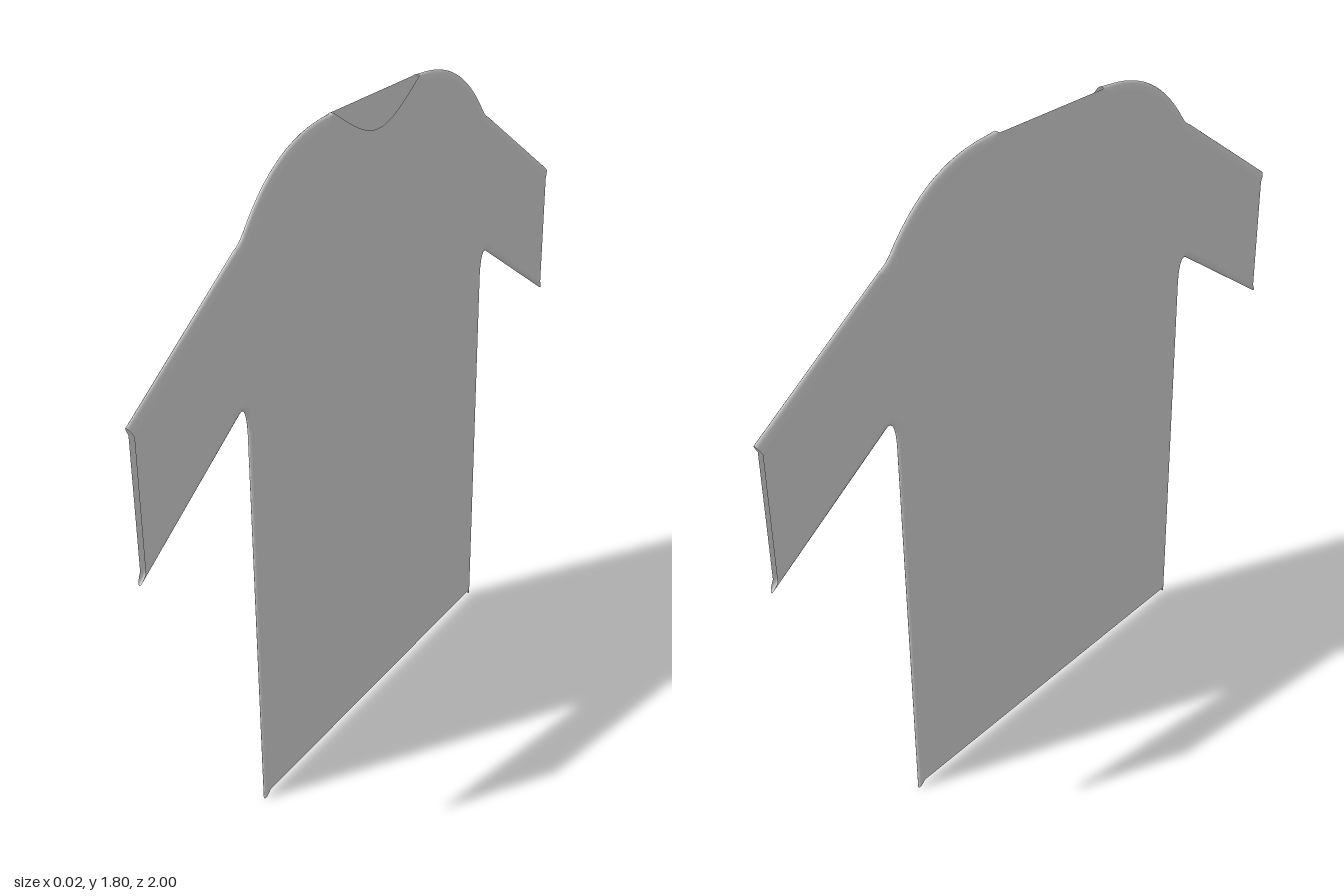
import * as THREE from 'three';

const HALF = 0.008;   // half the thickness of the flat shirt
const INSET = 0.022;  // width of the rounded seam
const ARC = 8;        // steps around the seam

const material = new THREE.MeshStandardMaterial({ color: 0xcccccc, side: THREE.DoubleSide });

// Outlines of one half: first coordinate is z, second is y
function shoulderPath() {
  const p = new THREE.Path();
  p.moveTo(0.2, 1.8);
  p.bezierCurveTo(0.36, 1.797, 0.47, 1.74, 0.565, 1.615);
  p.quadraticCurveTo(0.58, 1.597, 0.6, 1.588);
  p.lineTo(1, 1.325);
  return p;
}

function underarmPath() {
  const p = new THREE.Path();
  p.moveTo(1, 0.93);
  p.lineTo(0.612, 1.185);
  p.quadraticCurveTo(0.58, 1.203, 0.577, 1.12);
  p.lineTo(0.577, 0);
  return p;
}

// Seam points and the matching points where the flat panels begin
function makeSeam(path, startInset, endInset) {
  const outer = path.getPoints(14);
  const inner = outer.map((p, i) => {
    if (i === 0) return startInset;
    if (i === outer.length - 1) return endInset;
    const a = p.clone().sub(outer[i - 1]).normalize();
    const d = outer[i + 1].clone().sub(p).normalize().add(a).normalize();
    return new THREE.Vector2(p.x + d.y * INSET, p.y - d.x * INSET);
  });
  return { outer, inner };
}

// Rounded strip joining the two panels along a seam
function seamMesh({ outer, inner }, side, name) {
  const pos = [], index = [];
  outer.forEach((p, i) => {
    for (let j = 0; j <= ARC; j++) {
      const t = (j / ARC - 0.5) * Math.PI;
      const q = p.clone().lerp(inner[i], 1 - Math.cos(t));
      pos.push(HALF * Math.sin(t), q.y, q.x * side);
    }
  });
  const row = ARC + 1;
  for (let i = 0; i < outer.length - 1; i++) {
    for (let j = 0; j < ARC; j++) {
      const a = i * row + j, b = a + row;
      if (side > 0) index.push(a, b, a + 1, b, b + 1, a + 1);
      else index.push(a, a + 1, b, b, a + 1, b + 1);
    }
  }
  const g = new THREE.BufferGeometry();
  g.setAttribute('position', new THREE.Float32BufferAttribute(pos, 3));
  g.setIndex(index);
  g.computeVertexNormals();
  const mesh = new THREE.Mesh(g, material);
  mesh.name = name;
  return mesh;
}

// Flat panel; the front one has a scooped neckline
function panelMesh(half, facing, scooped, name) {
  const mirrored = half.map(p => new THREE.Vector2(-p.x, p.y)).reverse();
  const shape = new THREE.Shape();
  [...half, ...mirrored].forEach((p, i) => (i ? shape.lineTo(p.x, p.y) : shape.moveTo(p.x, p.y)));
  if (scooped) {
    shape.bezierCurveTo(-0.1, 1.735, -0.05, 1.712, 0, 1.712);
    shape.bezierCurveTo(0.05, 1.712, 0.1, 1.735, half[0].x, half[0].y);
  }
  const g = new THREE.ShapeGeometry(shape, 12);
  g.rotateY(facing * Math.PI / 2);
  g.translate(facing * HALF, 0, 0);
  const mesh = new THREE.Mesh(g, material);
  mesh.name = name;
  return mesh;
}

export function createModel() {
  const shirt = new THREE.Group();
  shirt.name = 'shirt';
  const v = (z, y) => new THREE.Vector2(z, y);

  // Seams stop at the neck, sleeve ends and hem, which stay open
  const shoulder = makeSeam(shoulderPath(), v(0.195, 1.797), v(0.985, 1.3));
  const underarm = makeSeam(underarmPath(), v(0.985, 0.957), v(0.558, 0.022));
  for (const side of [1, -1]) {
    const label = side > 0 ? 'Left' : 'Right';
    shirt.add(seamMesh(shoulder, side, 'shoulderSeam' + label));
    shirt.add(seamMesh(underarm, side, 'sideSeam' + label));
  }

  // Chest and back panels
  const half = [...shoulder.inner, ...underarm.inner];
  shirt.add(panelMesh(half, 1, true, 'chestPanel'));
  shirt.add(panelMesh(half, -1, false, 'backPanel'));
  return shirt;
}
